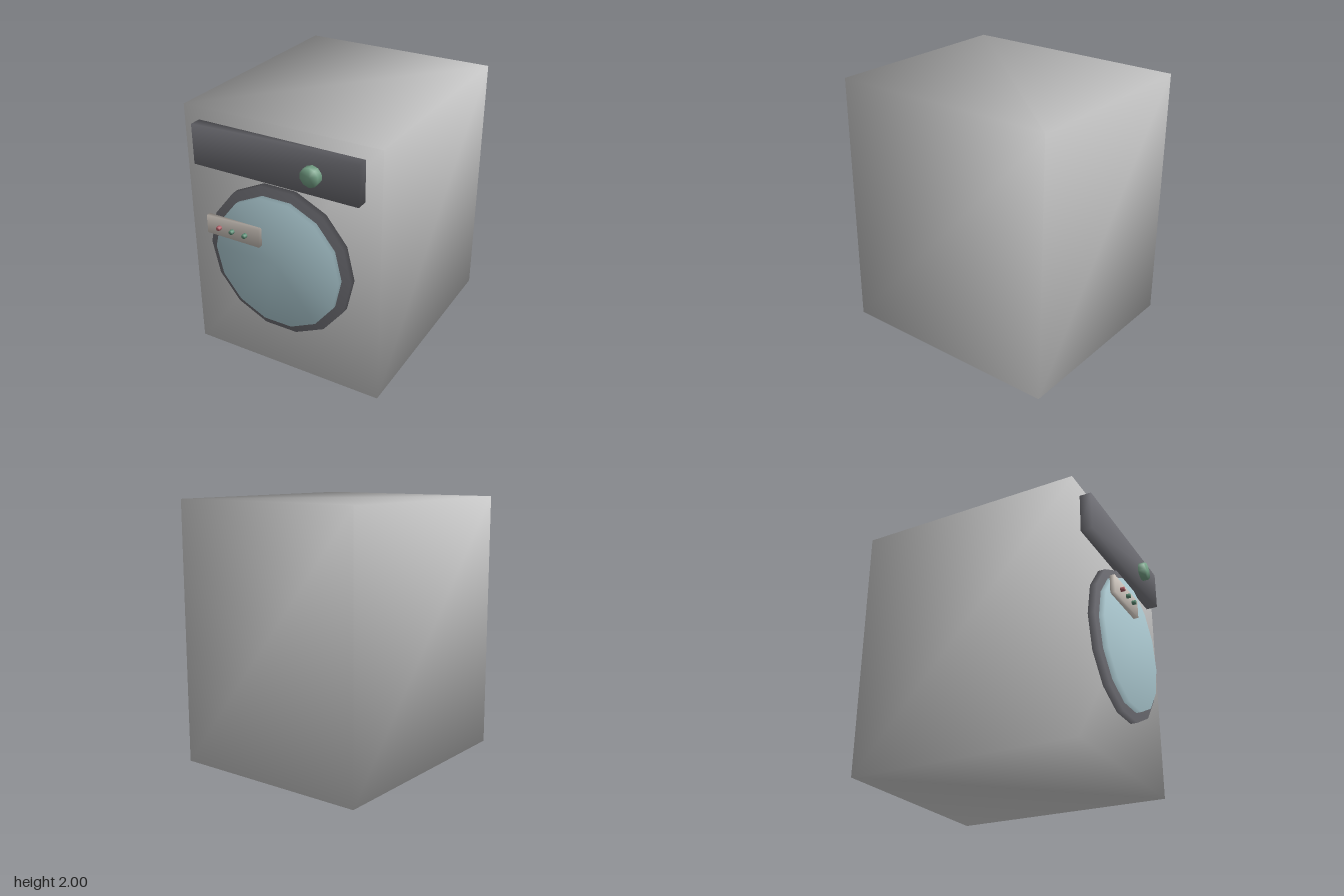
import * as THREE from 'three';
import { mergeVertices } from 'three/addons/utils/BufferGeometryUtils.js';

// Shared corners with averaged normals give the soft shading
function soften(geometry) {
  geometry.deleteAttribute('normal');
  geometry.deleteAttribute('uv');
  const merged = mergeVertices(geometry, 1e-4);
  merged.computeVertexNormals();
  return merged;
}

export function createModel() {
  const model = new THREE.Group();

  function add(name, geometry, color, x, y, z) {
    const material = new THREE.MeshStandardMaterial({ color });
    const mesh = new THREE.Mesh(soften(geometry), material);
    mesh.name = name;
    mesh.position.set(x, y, z);
    model.add(mesh);
  }

  // Box centred on x, y and reaching from z0 to z1
  function box(name, color, x, y, w, h, z0, z1) {
    add(name, new THREE.BoxGeometry(w, h, z1 - z0), color, x, y, (z0 + z1) / 2);
  }

  // Disc facing the front, reaching from z0 to z1
  function disc(name, color, x, y, r, sides, z0, z1, turn = 0) {
    const g = new THREE.CylinderGeometry(r, r, z1 - z0, sides, 1, false, turn);
    add(name, g.rotateX(Math.PI / 2), color, x, y, (z0 + z1) / 2);
  }

  // Cabinet and control panel
  box('cabinet', 0xcccccc, 0, 1, 1.57, 2, -1, 0.79);
  box('controlPanel', 0x6e6e74, 0, 1.753, 1.32, 0.305, 0.78, 0.88);
  disc('knob', 0x78a58a, 0.318, 1.753, 0.072, 10, 0.87, 0.93);

  // Round door: frame with raised glass
  disc('doorFrame', 0x6e6e74, 0, 0.967, 0.587, 14, 0.78, 0.843, Math.PI / 2);
  disc('doorGlass', 0xb0ced6, 0, 0.967, 0.515, 14, 0.79, 0.885, Math.PI / 2);

  // Display strip in front of the door, with three small lights
  box('displayStrip', 0xccc4bc, -0.292, 1.2, 0.44, 0.14, 0.935, 0.972);
  [0xb06068, 0x5f9078, 0x5f9078].forEach((color, i) => {
    disc('indicatorLight' + (i + 1), color, -0.401 + i * 0.109, 1.2, 0.017, 8, 0.965, 1);
  });

  return model;
}
